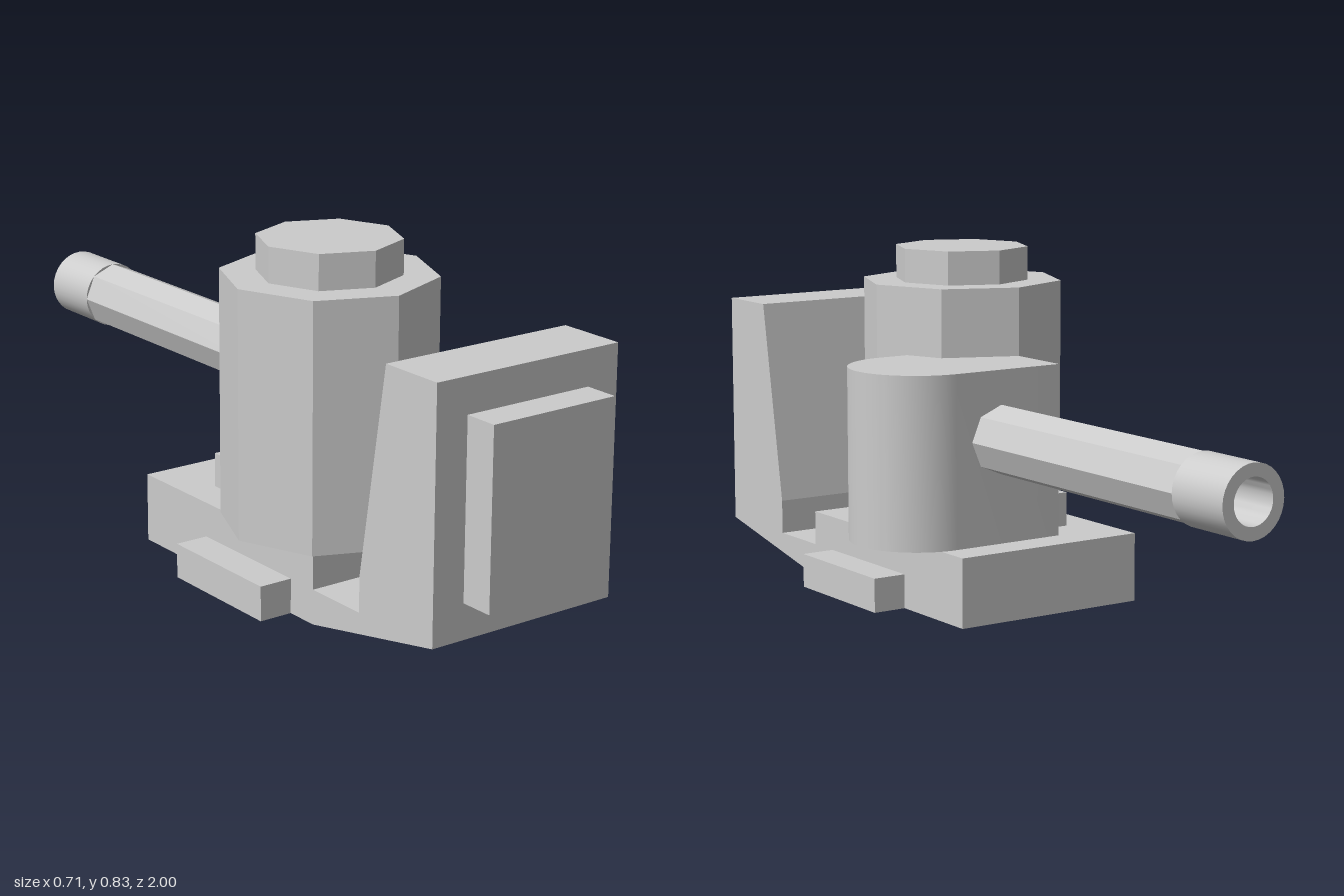
import * as THREE from 'three';
import { toCreasedNormals } from 'three/addons/utils/BufferGeometryUtils.js';

const smooth = new THREE.MeshStandardMaterial({ color: 0xcccccc });
const flat = new THREE.MeshStandardMaterial({ color: 0xcccccc, flatShading: true });

export function createModel() {
  const group = new THREE.Group();

  const add = (name, geometry, material = flat) => {
    const mesh = new THREE.Mesh(geometry, material);
    mesh.name = name;
    group.add(mesh);
    return mesh;
  };
  // Box given by its minimum and maximum corners
  const box = (name, [x0, y0, z0], [x1, y1, z1]) =>
    add(name, new THREE.BoxGeometry(x1 - x0, y1 - y0, z1 - z0))
      .position.set((x0 + x1) / 2, (y0 + y1) / 2, (z0 + z1) / 2);
  // Upright octagonal prism with corners on the axes
  const octagon = (name, radius, y0, y1) =>
    add(name, new THREE.CylinderGeometry(radius, radius, y1 - y0, 8))
      .position.set(-0.104, (y0 + y1) / 2, 0.333);

  // Base with upright front shield: side profile (z, y) swept across x
  const profile = [
    [-0.167, 0], [0.5, 0], [0.917, 0.083], [0.917, 0.667], [0.75, 0.667],
    [0.667, 0.167], [0.667, 0.083], [0.5, 0.083], [0.5, 0.167], [-0.167, 0.167],
  ].map(([z, y]) => new THREE.Vector2(z, y));
  const base = new THREE.ExtrudeGeometry(new THREE.Shape(profile), { depth: 0.5, bevelEnabled: false });
  base.rotateY(-Math.PI / 2).translate(0.229, 0, 0);
  add('baseAndShield', base);

  box('frontPlate', [-0.188, 0.167, 0.917], [0.146, 0.583, 1]);
  box('rightPad', [-0.354, 0, 0.083], [-0.271, 0.083, 0.417]);
  box('leftPad', [0.229, 0, 0.083], [0.313, 0.083, 0.417]);
  box('rearBlock', [-0.188, 0.167, 0], [-0.104, 0.25, 0.167]);

  // Octagonal tower and its cap
  octagon('tower', 0.25, 0.167, 0.75);
  octagon('towerCap', 0.167, 0.75, 0.833);

  // Housing with one rounded end, drawn in plan (x, -z) and raised
  const plan = new THREE.Shape();
  plan.moveTo(-0.104, 0.083);
  plan.lineTo(-0.104, -0.25);
  plan.lineTo(0.188, -0.25);
  plan.absarc(0.188, -0.083, 0.167, -Math.PI / 2, Math.PI / 2, false);
  plan.closePath();
  const housing = new THREE.ExtrudeGeometry(plan, { depth: 0.416, bevelEnabled: false, curveSegments: 24 });
  housing.rotateX(-Math.PI / 2).translate(0, 0.167, 0);
  add('housing', toCreasedNormals(housing, 0.6), smooth);

  // Octagonal barrel pointing backwards
  const barrel = new THREE.CylinderGeometry(0.083, 0.083, 0.78, 8);
  barrel.rotateX(-Math.PI / 2).translate(0.0625, 0.417, -0.443);
  add('barrel', barrel);

  // Round muzzle with a bore
  const ring = [[0, 0], [0.083, 0], [0.083, 0.167], [0.053, 0.167], [0.053, 0.01], [0, 0.01]]
    .map(([r, y]) => new THREE.Vector2(r, y));
  const muzzle = toCreasedNormals(new THREE.LatheGeometry(ring, 32), 0.6);
  muzzle.rotateX(-Math.PI / 2).translate(0.0625, 0.417, -0.833);
  add('muzzle', muzzle, smooth);

  return group;
}
